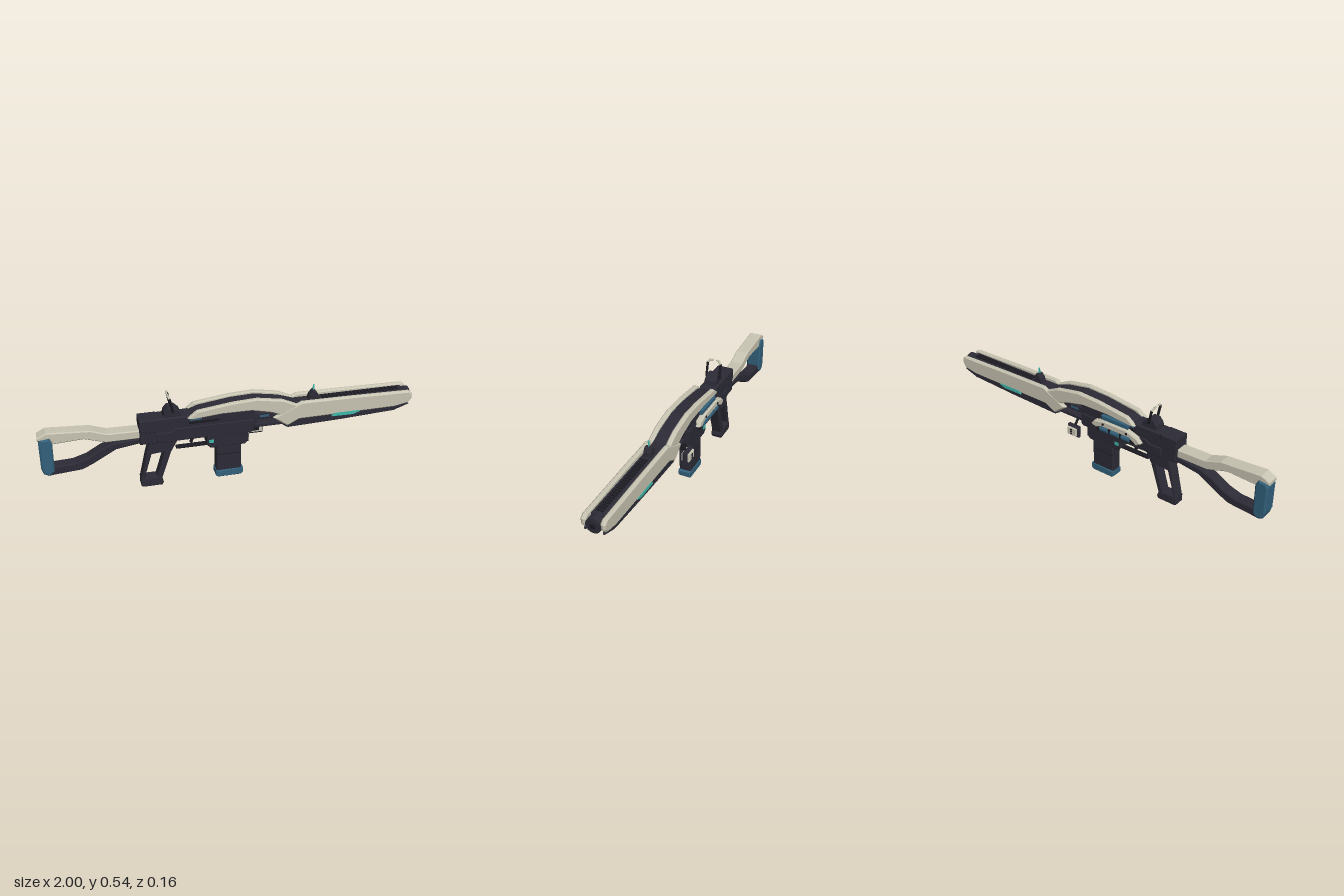
import * as THREE from 'three';

const paint = (name, color, side = THREE.FrontSide) => {
  const m = new THREE.MeshStandardMaterial({ color, side });
  m.name = name;
  return m;
};

export function createModel() {
  const group = new THREE.Group();
  const ZC = 0.014; // centre plane of the main body
  const dark = paint('charcoal', 0x2c2b36);
  const black = paint('black', 0x1b1a21);
  const cream = paint('cream', 0xc8c4b2);
  const blue = paint('steel blue', 0x32607a);
  const teal = paint('teal', 0x40b8aa);

  const add = (name, geometry, material) => {
    const mesh = new THREE.Mesh(geometry, material);
    mesh.name = name;
    group.add(mesh);
    return mesh;
  };
  const toPoints = (pts) => pts.map(([x, y]) => new THREE.Vector2(x, y));

  // Side outline extruded between z0 and z1 (relative to the centre plane), edges chamfered
  function prism(name, pts, z0, z1, material, bevel = 0.005, hole) {
    const shape = new THREE.Shape(toPoints(pts));
    if (hole) shape.holes.push(new THREE.Path(toPoints(hole)));
    const geo = new THREE.ExtrudeGeometry(shape, {
      depth: z1 - z0 - 2 * bevel, bevelEnabled: bevel > 0, bevelThickness: bevel,
      bevelSize: bevel, bevelOffset: -bevel, bevelSegments: 1,
    });
    geo.translate(0, 0, ZC + z0 + bevel);
    return add(name, geo, material);
  }
  // Same part on both sides of the centre plane
  function pair(name, pts, inner, outer, material, bevel) {
    prism(name + 'Left', pts, inner, outer, material, bevel);
    prism(name + 'Right', pts, -outer, -inner, material, bevel);
  }
  const rect = (x0, x1, y0, y1) => [[x0, y0], [x1, y0], [x1, y1], [x0, y1]];
  const box = (name, x0, x1, y0, y1, z0, z1, material, bevel = 0) =>
    prism(name, rect(x0, x1, y0, y1), z0, z1, material, bevel);
  function rod(name, a, b, r, material, sides = 8) {
    const from = new THREE.Vector3(...a), to = new THREE.Vector3(...b);
    const dir = to.clone().sub(from);
    const mesh = add(name, new THREE.CylinderGeometry(r, r, dir.length(), sides), material);
    mesh.position.copy(from).add(to).multiplyScalar(0.5);
    mesh.quaternion.setFromUnitVectors(new THREE.Vector3(0, 1, 0), dir.normalize());
    return mesh;
  }

  // Shoulder stock
  prism('stockUpper', [[-1, 0.36], [-0.94, 0.368], [-0.925, 0.335], [-0.77, 0.343], [-0.66, 0.308],
    [-0.485, 0.308], [-0.485, 0.354], [-0.65, 0.357], [-0.735, 0.387], [-0.955, 0.402], [-1, 0.378]],
  -0.035, 0.035, cream);
  prism('buttPlate', [[-0.985, 0.165], [-0.955, 0.152], [-0.93, 0.175], [-0.927, 0.34], [-0.942, 0.368],
    [-0.985, 0.368], [-0.996, 0.345], [-0.996, 0.2]], -0.041, 0.041, blue, 0.008);
  prism('stockLower', [[-0.965, 0.15], [-0.79, 0.163], [-0.735, 0.188], [-0.61, 0.258], [-0.485, 0.276],
    [-0.485, 0.306], [-0.62, 0.296], [-0.69, 0.268], [-0.76, 0.227], [-0.83, 0.205], [-0.94, 0.2]],
  -0.033, 0.033, dark, 0.006);

  // Receiver
  box('receiver', -0.488, 0.115, 0.272, 0.412, -0.045, 0.045, dark, 0.006);
  box('receiverRear', -0.488, -0.39, 0.34, 0.412, -0.048, 0.048, dark, 0.004);
  pair('receiverPlate', [[-0.4, 0.29], [-0.38, 0.278], [0.105, 0.278], [0.115, 0.29], [0.115, 0.35],
    [-0.3, 0.35], [-0.33, 0.335], [-0.4, 0.335]], 0.044, 0.054, dark, 0.003);
  pair('receiverSeam', rect(-0.23, -0.07, 0.365, 0.378), 0.044, 0.048, black, 0);
  pair('receiverInlay', rect(-0.225, -0.165, 0.385, 0.398), 0.044, 0.049, blue, 0);
  prism('topSpine', [[-0.25, 0.4], [0.33, 0.38], [0.35, 0.405], [0.26, 0.435], [0.13, 0.458], [0, 0.453],
    [-0.17, 0.43]], -0.036, 0.036, dark, 0.004);

  // Sweeping top cowls
  pair('topCowl', [[-0.238, 0.402], [-0.21, 0.395], [-0.06, 0.408], [0.1, 0.406], [0.21, 0.38], [0.27, 0.352],
    [0.33, 0.36], [0.35, 0.408], [0.27, 0.446], [0.13, 0.471], [0, 0.465], [-0.19, 0.441]],
  0.034, 0.062, cream, 0.007);

  // Pistol grip with open frame
  prism('grip', [[-0.465, 0.04], [-0.38, 0.04], [-0.327, 0.2], [-0.285, 0.275], [-0.435, 0.275], [-0.457, 0.2],
    [-0.492, 0.045]], -0.03, 0.03, dark, 0.005,
  [[-0.472, 0.058], [-0.405, 0.058], [-0.36, 0.205], [-0.43, 0.2]]);
  prism('gripBase', [[-0.492, 0.012], [-0.48, 0.004], [-0.378, 0.004], [-0.372, 0.02], [-0.384, 0.052],
    [-0.492, 0.052]], -0.032, 0.032, dark);

  // Trigger and guard
  box('triggerGuard', -0.295, -0.07, 0.204, 0.217, -0.014, 0.014, black, 0.003);
  prism('trigger', [[-0.222, 0.28], [-0.205, 0.28], [-0.2, 0.25], [-0.21, 0.228], [-0.222, 0.232], [-0.213, 0.25]],
    -0.008, 0.008, black, 0);

  // Magazine and well
  prism('magazineWell', [[-0.135, 0.218], [-0.115, 0.198], [0.07, 0.198], [0.087, 0.215], [0.087, 0.275],
    [-0.135, 0.275]], -0.039, 0.039, dark);
  for (let i = 0; i < 4; i++)
    box('wellRib', 0.085, 0.092, 0.208 + i * 0.013, 0.215 + i * 0.013, -0.031, 0.031, black);
  pair('magazineCatch', rect(-0.125, -0.1, 0.232, 0.25), 0.037, 0.042, teal, 0);
  box('magazine', -0.083, 0.052, 0.045, 0.2, -0.033, 0.033, dark, 0.006);
  pair('magazineGroove', rect(-0.08, 0.047, 0.147, 0.151), 0.032, 0.034, black, 0);
  prism('magazineBase', [[-0.088, 0.018], [-0.075, 0.007], [0.05, 0.007], [0.063, 0.02], [0.063, 0.045],
    [0.05, 0.053], [-0.088, 0.047]], -0.035, 0.035, blue);

  // Barrel core and muzzle
  box('barrelCore', 0.1, 0.96, 0.335, 0.372, -0.034, 0.034, dark, 0.005);
  box('barrelTopRail', 0.3, 0.955, 0.365, 0.408, -0.033, 0.033, dark, 0.005);
  for (let i = 0; i < 22; i++)
    box('railTooth', 0.5 + i * 0.02, 0.511 + i * 0.02, 0.406, 0.413, -0.018, 0.018, black);
  box('lowerBar', 0.12, 0.32, 0.288, 0.31, -0.035, 0.035, dark, 0.004);
  box('barrelLink', 0.115, 0.135, 0.285, 0.38, -0.03, 0.03, dark);
  pair('coreLight', rect(0.15, 0.2, 0.348, 0.36), 0.033, 0.037, blue, 0);
  rod('barrel', [0.2, 0.36, ZC], [0.96, 0.36, ZC], 0.03, dark, 20);
  rod('muzzle', [0.93, 0.37, ZC], [0.992, 0.37, ZC], 0.04, dark, 28);
  rod('muzzleRim', [0.99, 0.37, ZC], [0.996, 0.37, ZC], 0.034, dark, 28);
  rod('muzzleBore', [0.994, 0.37, ZC], [0.998, 0.37, ZC], 0.014, black, 20);

  // Long handguard panels, lower rails and their pale liners
  pair('handguardPanel', [[0.218, 0.347], [0.295, 0.288], [0.36, 0.322], [0.9, 0.326], [0.975, 0.34],
    [0.995, 0.365], [0.997, 0.395], [0.975, 0.414], [0.65, 0.421], [0.37, 0.424], [0.29, 0.385]],
  0.037, 0.064, cream, 0.009);
  pair('lowerRail', [[0.27, 0.297], [0.3, 0.278], [0.6, 0.287], [0.9, 0.302], [0.985, 0.332], [0.97, 0.345],
    [0.32, 0.335]], 0.04, 0.056, dark, 0.004);
  pair('railLiner', [[0.31, 0.292], [0.6, 0.296], [0.9, 0.31], [0.96, 0.335], [0.32, 0.335]],
    0.034, 0.041, cream, 0);
  prism('forwardFairing', [[0.28, 0.292], [0.31, 0.292], [0.34, 0.33], [0.28, 0.33]], -0.04, 0.04, cream, 0);
  pair('panelLight', [[0.54, 0.318], [0.66, 0.316], [0.7, 0.33], [0.69, 0.336], [0.555, 0.336]],
    0.057, 0.066, teal, 0);

  // Front sight
  prism('frontSightBase', [[0.42, 0.405], [0.48, 0.405], [0.475, 0.435], [0.46, 0.457], [0.445, 0.457],
    [0.428, 0.435]], -0.02, 0.02, dark, 0.004);
  box('frontSightPost', 0.448, 0.456, 0.45, 0.488, -0.003, 0.003, teal);

  // Rear sight with an open hoop
  prism('rearSightBase', [[-0.36, 0.41], [-0.265, 0.41], [-0.272, 0.435], [-0.3, 0.462], [-0.335, 0.462],
    [-0.355, 0.438]], -0.033, 0.033, dark, 0.004);
  for (const s of [-1, 1]) {
    const p = [[-0.31, 0.44, 0.038], [-0.327, 0.518, 0.038], [-0.333, 0.533, 0.024], [-0.335, 0.535, 0.008]]
      .map(([x, y, z]) => [x, y, ZC + s * z]);
    rod('rearSightArm', p[0], p[1], 0.007, black);
    rod('rearSightHook', p[1], p[2], 0.006, cream);
    rod('rearSightTip', p[2], p[3], 0.005, cream);
  }

  // Arched side cover with coils on the right flank
  prism('sideCover', [[-0.29, 0.325], [-0.26, 0.305], [-0.215, 0.335], [-0.04, 0.335], [0, 0.318], [0.03, 0.332],
    [0.01, 0.357], [-0.06, 0.373], [-0.2, 0.373], [-0.265, 0.35]], -0.077, -0.044, cream, 0.006);
  box('coilBed', -0.255, 0.005, 0.297, 0.34, -0.064, -0.044, black, 0.003);
  for (let i = 0; i < 3; i++) {
    const x = -0.215 + i * 0.07;
    rod('coil', [x, 0.318, ZC - 0.064], [x + 0.05, 0.318, ZC - 0.064], 0.015, blue, 12);
  }
  box('sideInlay', -0.2, -0.03, 0.372, 0.398, -0.066, -0.044, blue, 0.003);
  for (const x of [-0.2, -0.05])
    rod('coverBolt', [x, 0.354, ZC - 0.075], [x, 0.354, ZC - 0.08], 0.007, black);

  // Side module hung below the barrel
  box('moduleBody', 0.118, 0.192, 0.202, 0.267, -0.078, -0.05, dark, 0.006);
  box('moduleFrame', 0.124, 0.186, 0.214, 0.26, -0.09, -0.076, cream, 0.004);
  box('moduleBackFrame', 0.124, 0.186, 0.214, 0.26, -0.052, -0.046, cream);
  box('moduleBackInset', 0.14, 0.17, 0.222, 0.25, -0.048, -0.045, black);
  for (const y of [0.226, 0.238, 0.25])
    rod('moduleStud', [0.155, y, ZC - 0.088], [0.155, y, ZC - 0.094], 0.005, black);
  rod('moduleStem', [0.155, 0.262, ZC - 0.055], [0.155, 0.295, ZC - 0.03], 0.007, black);

  return group;
}
